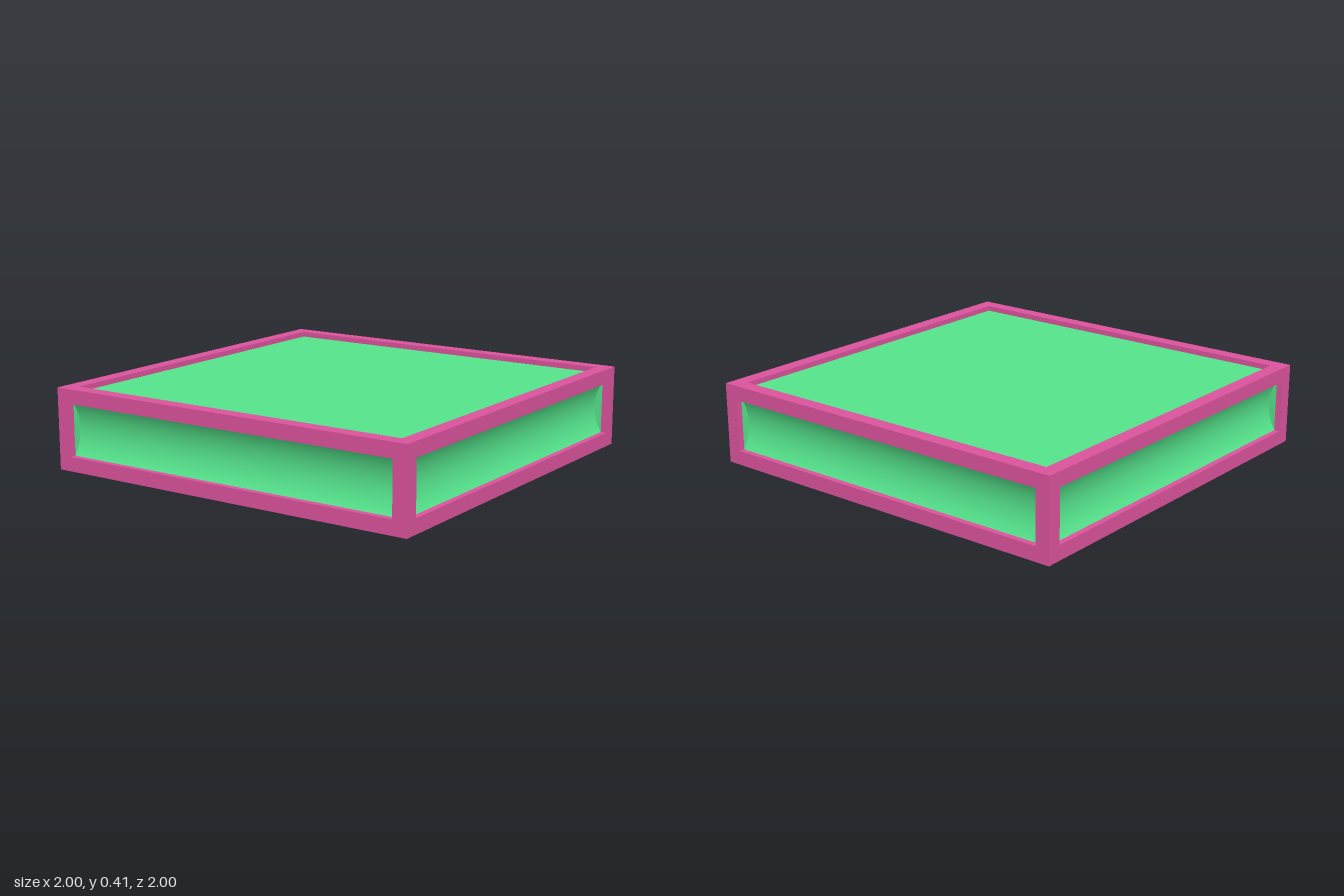
import * as THREE from 'three';

const HALF = 1, HEIGHT = 0.41, BORDER = 0.073, LIP = 0.03, HOLLOW = 0.04;

const pink = new THREE.MeshStandardMaterial({ name: 'pink frame', color: 0xdc539d });
const green = new THREE.MeshStandardMaterial({
  name: 'green panel', color: 0x55e38c, side: THREE.DoubleSide,
});

function add(parent, name, geometry, material) {
  const mesh = new THREE.Mesh(geometry, material);
  mesh.name = name;
  parent.add(mesh);
  return mesh;
}

// Rectangular border with an opening; its outer face lies on z = 0
function borderGeometry(w, h) {
  const rect = (path, x, y) =>
    path.moveTo(-x, -y).lineTo(x, -y).lineTo(x, y).lineTo(-x, y).closePath();
  const shape = rect(new THREE.Shape(), w / 2, h / 2);
  shape.holes.push(rect(new THREE.Path(), w / 2 - BORDER, h / 2 - BORDER));
  return new THREE.ExtrudeGeometry(shape, { depth: LIP, bevelEnabled: false })
    .translate(0, 0, -LIP);
}

export function createModel() {
  const model = new THREE.Group();
  model.name = 'framedSlab';

  // Hollowed side panel: a shallow arc across the opening's height
  const inner = 2 * (HALF - BORDER);
  const chord = HEIGHT / 2 - BORDER;
  const radius = (chord ** 2 + HOLLOW ** 2) / (2 * HOLLOW);
  const angle = Math.asin(chord / radius);
  const centre = radius - HOLLOW - LIP;
  const cove = new THREE.CylinderGeometry(
    radius, radius, inner, 16, 1, true, Math.PI - angle, 2 * angle)
    .rotateZ(Math.PI / 2).translate(0, 0, centre);
  const segment = new THREE.Shape()
    .absarc(centre, 0, radius, Math.PI - angle, Math.PI + angle, false);
  const coveEnd = new THREE.ShapeGeometry(segment, 16).rotateY(-Math.PI / 2);

  // Four matching sides
  const sideBorder = borderGeometry(2 * HALF, HEIGHT);
  ['front', 'left', 'back', 'right'].forEach((name, i) => {
    const side = new THREE.Group();
    side.name = name + 'Side';
    const a = i * Math.PI / 2;
    side.rotation.y = a;
    side.position.set(Math.sin(a) * HALF, HEIGHT / 2, Math.cos(a) * HALF);
    add(side, name + 'Border', sideBorder, pink);
    add(side, name + 'HollowPanel', cove, green);
    for (const s of [-1, 1]) {
      add(side, name + 'PanelEnd', coveEnd, green).position.x = s * inner / 2;
    }
    model.add(side);
  });

  // Top and bottom: border with a flat inset panel
  const capBorder = borderGeometry(2 * HALF, 2 * HALF);
  const capPanel = new THREE.PlaneGeometry(inner, inner).translate(0, 0, -LIP + 0.003);
  [['top', -1, HEIGHT], ['bottom', 1, 0]].forEach(([name, turn, y]) => {
    const cap = new THREE.Group();
    cap.name = name + 'Face';
    cap.rotation.x = turn * Math.PI / 2;
    cap.position.y = y;
    add(cap, name + 'Border', capBorder, pink);
    add(cap, name + 'Panel', capPanel, green);
    model.add(cap);
  });

  return model;
}
